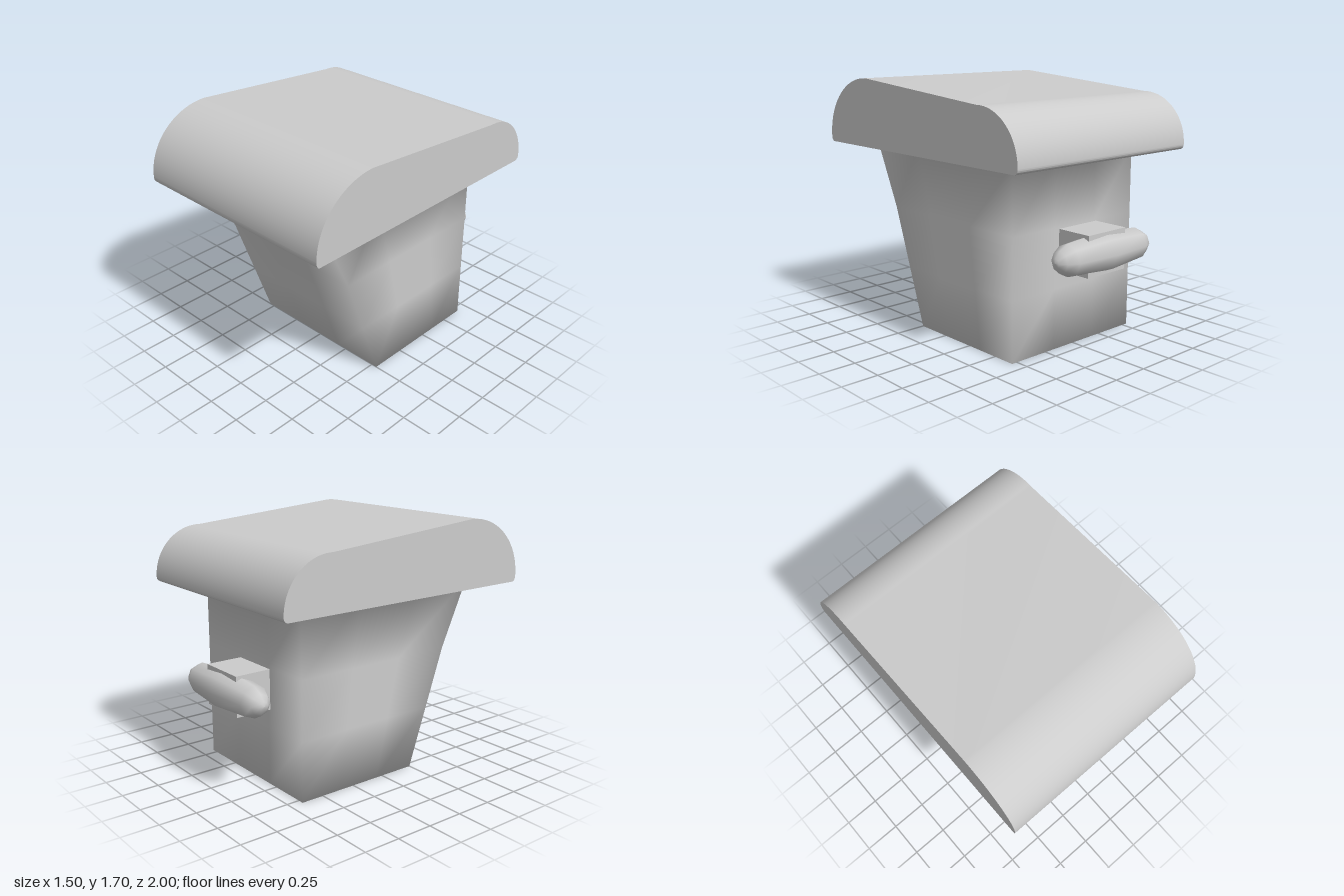
import * as THREE from 'three';
import { mergeVertices, toCreasedNormals } from 'three/addons/utils/BufferGeometryUtils.js';

const material = new THREE.MeshStandardMaterial({ color: 0xcccccc });

function addPart(group, name, geometry) {
  const mesh = new THREE.Mesh(geometry, material);
  mesh.name = name;
  group.add(mesh);
  return mesh;
}

// Softly shaded box whose front leans outward towards the top
function bodyGeometry() {
  const rows = [[0, 0.25], [0.4, 0.39], [0.8, 0.53], [1.24, 0.735]]; // height, front z
  const back = -0.66;
  let geometry = new THREE.BoxGeometry(1.08, 3, 1, 3, 3, 3);
  const pos = geometry.attributes.position;
  for (let i = 0; i < pos.count; i++) {
    const [y, front] = rows[Math.round(pos.getY(i) + 1.5)];
    pos.setY(i, y);
    pos.setZ(i, back + (front - back) * (pos.getZ(i) + 0.5));
  }
  geometry.deleteAttribute('normal');
  geometry.deleteAttribute('uv');
  geometry = mergeVertices(geometry);
  geometry.computeVertexNormals();
  // Blend the shading of the top rim into the underside of the lid
  const p = geometry.attributes.position, n = geometry.attributes.normal;
  for (let i = 0; i < p.count; i++) {
    if (p.getY(i) > 1.2) n.setY(i, -Math.abs(n.getY(i)));
  }
  return geometry;
}

// Side profile (z, y) pulled across the full width
function lidGeometry() {
  const width = 1.5;
  const s = new THREE.Shape();
  s.moveTo(-0.905, 1.235);
  s.lineTo(0.975, 1.235);
  s.quadraticCurveTo(1, 1.24, 1, 1.28);
  s.absellipse(0.55, 1.28, 0.45, 0.415, 0, Math.PI * 0.5, false);
  s.lineTo(-0.58, 1.6);
  s.absellipse(-0.6, 1.27, 0.33, 0.33, Math.PI * 0.5, Math.PI, false);
  s.quadraticCurveTo(-0.93, 1.245, -0.905, 1.235);
  const geometry = new THREE.ExtrudeGeometry(s, { depth: width, bevelEnabled: false, curveSegments: 16 });
  geometry.translate(0, 0, -width / 2);
  geometry.rotateY(-Math.PI / 2);
  return toCreasedNormals(geometry, 0.7);
}

// Spindle-shaped grip lying along x
function gripGeometry() {
  const profile = [[0, -0.42], [0.03, -0.415], [0.07, -0.38], [0.105, -0.31], [0.13, 0],
    [0.105, 0.31], [0.07, 0.38], [0.03, 0.415], [0, 0.42]];
  const geometry = new THREE.LatheGeometry(profile.map(([r, y]) => new THREE.Vector2(r, y)), 8);
  geometry.rotateZ(Math.PI / 2);
  return geometry;
}

export function createModel() {
  const group = new THREE.Group();
  group.name = 'liddedBin';

  addPart(group, 'body', bodyGeometry());
  addPart(group, 'lid', lidGeometry());

  // Rear handle: square stem and rounded grip
  const handle = new THREE.Group();
  handle.name = 'rearHandle';
  handle.position.set(-0.03, 0.655, 0);
  addPart(handle, 'stem', new THREE.BoxGeometry(0.34, 0.27, 0.27)).position.z = -0.775;
  addPart(handle, 'grip', gripGeometry()).position.z = -0.87;
  group.add(handle);

  return group;
}
